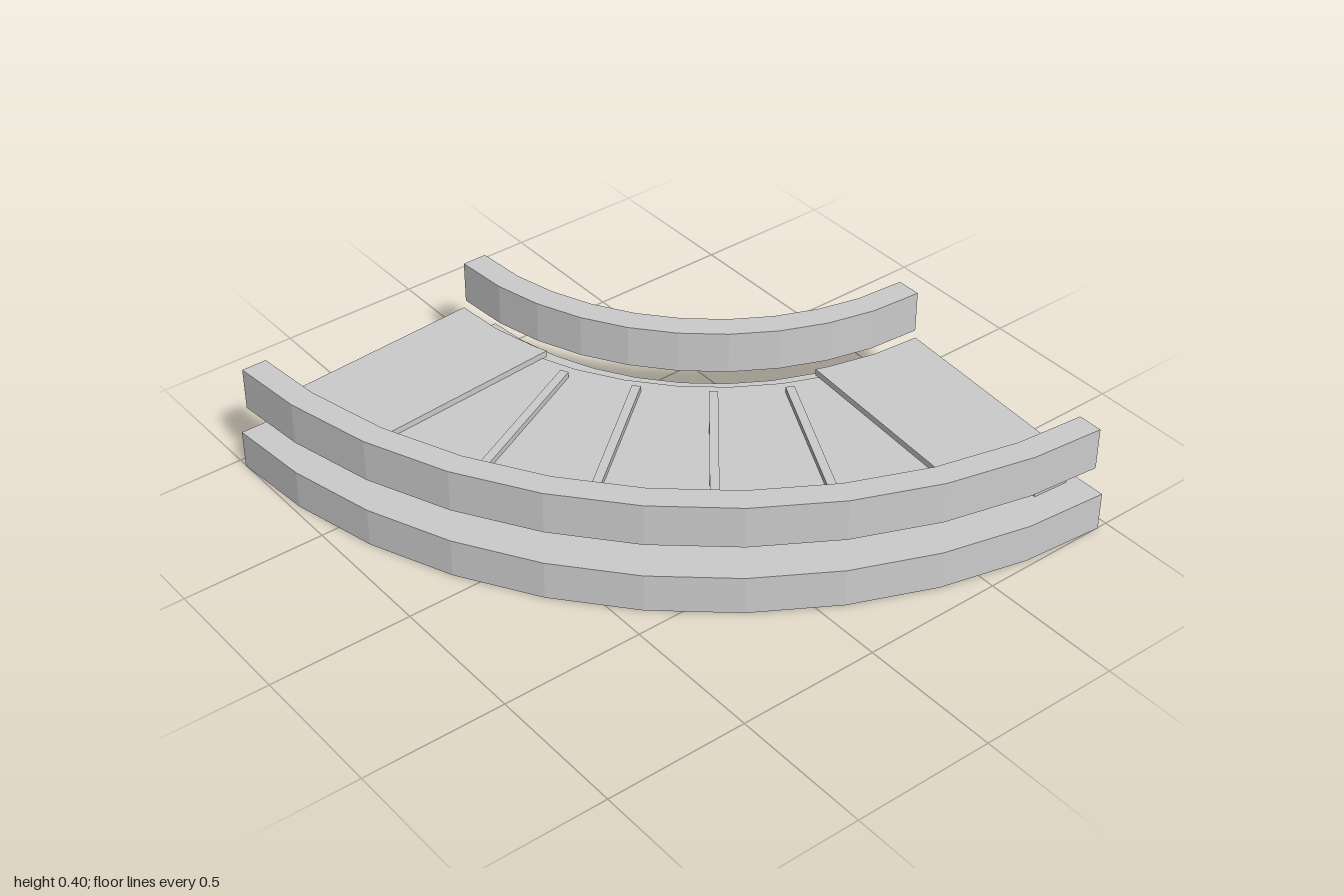
import * as THREE from 'three';

const CX = 0.98, CZ = -0.98;            // centre of the quarter bend
const RAD = Math.PI / 180;
const material = new THREE.MeshStandardMaterial({ color: 0xcccccc, flatShading: true });

// Plan position for radius r and angle a (degrees); 0 is the back end, 90 the right end.
const at = (r, a) => [CX - r * Math.cos(a * RAD), CZ + r * Math.sin(a * RAD)];

// Faceted arc from a0 to a1 with joints every 9 degrees.
function arc(r, a0, a1) {
  const list = [a0];
  for (let a = 9; a < 90; a += 9) if (a > a0 + 1 && a < a1 - 1) list.push(a);
  list.push(a1);
  return list.map((a) => at(r, a));
}

// Extrudes a plan outline of [x, z] points between two heights.
function slab(name, points, y0, y1) {
  const shape = new THREE.Shape(points.map(([x, z]) => new THREE.Vector2(x, -z)));
  const geo = new THREE.ExtrudeGeometry(shape, { depth: y1 - y0, bevelEnabled: false });
  geo.rotateX(-Math.PI / 2);
  geo.translate(0, y0, 0);
  const mesh = new THREE.Mesh(geo, material);
  mesh.name = name;
  return mesh;
}

// Curved bar whose square-cut ends lie a distance d inside the quarter bend.
function curvedBar(name, rIn, rOut, d, y0, y1) {
  const cut = (r) => Math.asin(d / r) / RAD;
  const outer = arc(rOut, cut(rOut), 90 - cut(rOut));
  const inner = arc(rIn, cut(rIn), 90 - cut(rIn));
  return slab(name, [...outer, ...inner.reverse()], y0, y1);
}

// Swaps the two ends of the bend.
const mirror = (points) => points.map(([x, z]) => [-z, -x]);

export function createModel() {
  const group = new THREE.Group();
  group.name = 'curvedConveyor';

  // Base and the two guard rails
  group.add(curvedBar('base', 0.972, 1.982, 0.018, 0, 0.138));
  group.add(curvedBar('outerRail', 1.885, 1.972, 0.052, 0.252, 0.402));
  group.add(curvedBar('innerRail', 0.977, 1.064, -0.018, 0.252, 0.402));

  // Belt bed between the rails
  group.add(curvedBar('beltBed', 1.105, 1.835, 0.085, 0.15, 0.22));

  // Pieces repeated at both ends
  const endPlate = [...arc(1.885, 1.8, 13.8), ...arc(1.085, 0, 20.6).reverse()];
  const endLedge = [at(1.835, 1.7), at(1.835, 5), at(1.105, 7), at(1.105, 0.6)];
  const feet = [[1.74, 1.87], [1.08, 1.2]].map(([r0, r1]) =>
    [at(r1, 2), at(r1, 6), at(r0, 6), at(r0, 2)]);
  const ends = [['back', (p) => p], ['right', mirror]];
  for (const [side, place] of ends) {
    group.add(slab(side + 'EndPlate', place(endPlate), 0.218, 0.242));
    group.add(slab(side + 'EndLedge', place(endLedge), 0.15, 0.185));
    feet.forEach((f, i) =>
      group.add(slab(side + (i ? 'InnerFoot' : 'OuterFoot'), place(f), 0.136, 0.152)));
  }

  // Raised slats across the belt
  for (const a of [26.2, 38.7, 51.3, 63.8]) {
    const slat = new THREE.Mesh(new THREE.BoxGeometry(0.64, 0.026, 0.03), material);
    const [x, z] = at(1.475, a);
    slat.position.set(x, 0.228, z);
    slat.rotation.y = a * RAD;
    slat.name = 'beltSlat';
    group.add(slat);
  }
  return group;
}
